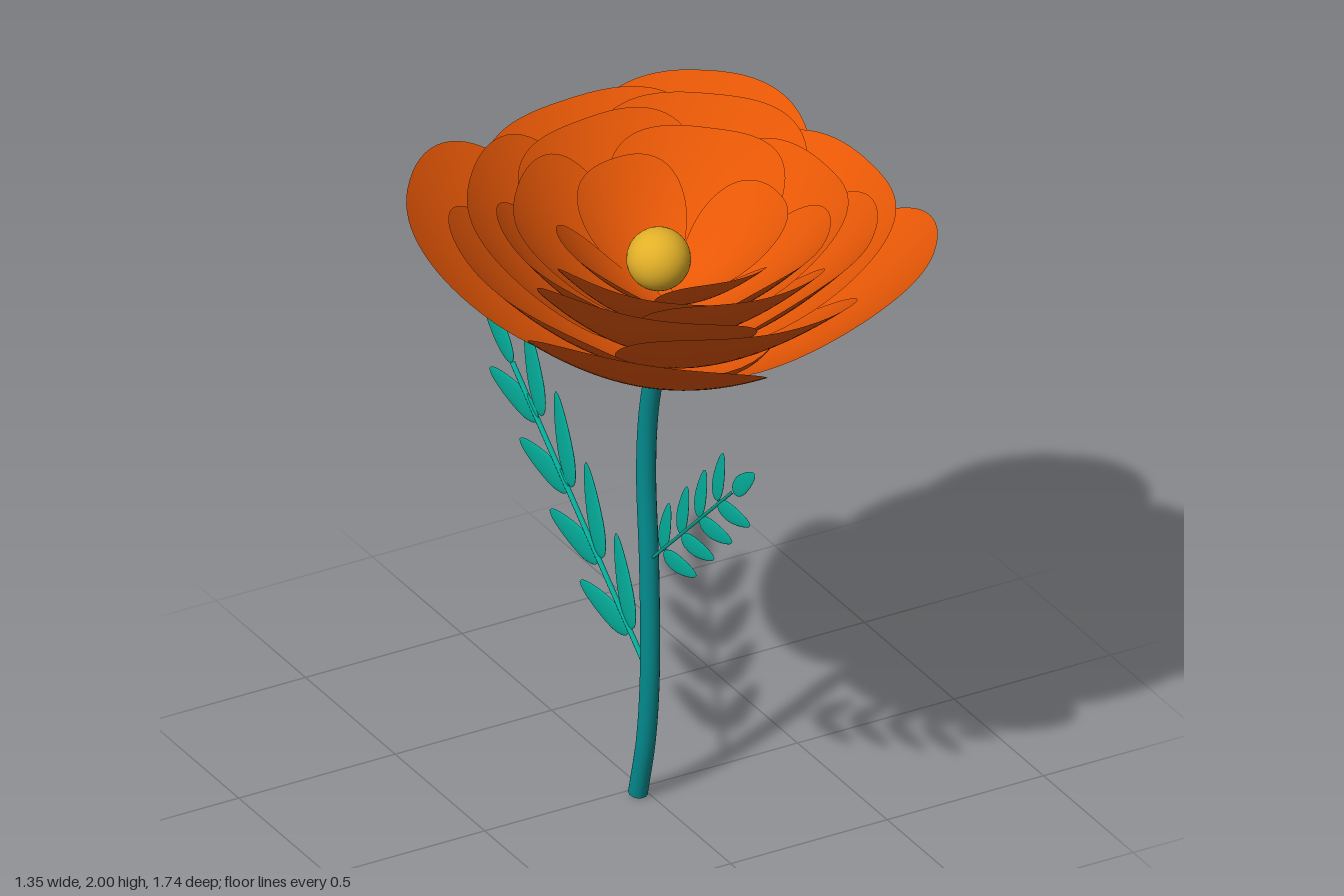
import * as THREE from 'three';
import { ParametricGeometry } from 'three/addons/geometries/ParametricGeometry.js';

const make = (name, color, side = THREE.FrontSide) => {
  const m = new THREE.MeshStandardMaterial({ color, side });
  m.name = name;
  return m;
};

export function createModel() {
  const petalOrange = make('petalOrange', 0xe85806, THREE.DoubleSide);
  const pollenYellow = make('pollenYellow', 0xe2b028, THREE.DoubleSide);
  const stemTeal = make('stemTeal', 0x038c8f);
  const leafGreen = make('leafGreen', 0x04ad9a);

  const model = new THREE.Group();
  model.name = 'flower';
  const add = (parent, name, geometry, material) => {
    const mesh = new THREE.Mesh(geometry, material);
    mesh.name = name;
    parent.add(mesh);
    return mesh;
  };
  const X = -0.027; // plane of the stem and fronds

  // Stem: a gently bent tube with a closed foot
  const stemPath = new THREE.CatmullRomCurve3(
    [[0.03, 0.005], [0.075, 0.2], [0.096, 0.42], [0.092, 0.75], [0.075, 1.05], [0.09, 1.25], [0.135, 1.42], [0.16, 1.47]]
      .map(([z, y]) => new THREE.Vector3(X, y, z)));
  add(model, 'stem', new THREE.TubeGeometry(stemPath, 48, 0.028, 16), stemTeal);
  const foot = add(model, 'stemFoot', new THREE.CircleGeometry(0.028, 16), stemTeal);
  foot.position.set(X, 0.004, 0.03);
  foot.rotation.x = Math.PI / 2;

  // Leaflet of unit length along y, flattened in x
  const leafGeometry = new THREE.LatheGeometry(
    new THREE.SplineCurve([[0, 0], [0.09, 0.05], [0.15, 0.2], [0.165, 0.38], [0.14, 0.62], [0.095, 0.83], [0.05, 0.95], [0, 1]]
      .map(([r, y]) => new THREE.Vector2(r, y))).getPoints(20).map(p => p.set(Math.max(p.x, 0), p.y)), 16);
  const leaflet = (parent, [z, y], [dz, dy]) => {
    const leaf = add(parent, 'leaflet', leafGeometry, leafGreen);
    const length = Math.hypot(dz, dy);
    leaf.position.set(X, y, z);
    leaf.rotation.x = Math.atan2(dz, dy);
    leaf.scale.set(length * 0.15, length, length);
  };

  // Fronds: a thin stalk, four pairs of leaflets and one at the tip; points are [z, y]
  const frond = (name, { root, first, step, upper, lower, end, tip, radius }) => {
    const group = new THREE.Group();
    group.name = name;
    const path = new THREE.LineCurve3(
      new THREE.Vector3(X, root[1], root[0]), new THREE.Vector3(X, end[1], end[0]));
    add(group, 'stalk', new THREE.TubeGeometry(path, 1, radius, 8), leafGreen);
    for (let i = 0; i < 4; i++) {
      const base = [first[0] + i * step[0], first[1] + i * step[1]];
      leaflet(group, base, upper);
      leaflet(group, [base[0] + lower[0] * 0.06, base[1] - 0.012], lower);
    }
    leaflet(group, end, tip);
    model.add(group);
  };
  frond('backFrond', {
    root: [0.08, 0.42], first: [-0.005, 0.505], step: [-0.168, 0.144], upper: [-0.088, 0.265],
    lower: [-0.275, 0.024], end: [-0.67, 1.03], tip: [-0.205, 0.18], radius: 0.008,
  });
  frond('frontFrond', {
    root: [0.1, 0.78], first: [0.16, 0.84], step: [0.1, 0.102], upper: [0.047, 0.17],
    lower: [0.185, 0.026], end: [0.56, 1.22], tip: [0.123, 0.115], radius: 0.005,
  });

  // Flower head, tipped a little to the front
  const head = new THREE.Group();
  head.name = 'flowerHead';
  head.position.set(-0.01, 1.45, 0.145);
  head.rotation.x = 0.095;
  model.add(head);

  // Petal: a rounded outline laid on a bowl that steepens towards the rim
  const petalGeometry = (reach, halfWidth, floor, rim, curve) => {
    const geometry = new ParametricGeometry((a, b, target) => {
      const u = Math.sin(a * Math.PI / 2); // rows crowd towards the tip
      const w = u < 0.62
        ? 0.15 + 0.85 * Math.sin(u / 0.62 * Math.PI / 2)
        : Math.pow(Math.max(0, 1 - Math.pow((u - 0.62) / 0.38, 2.2)), 1 / 2.2);
      const along = 0.02 + u * (reach - 0.02);
      const s = (b * 2 - 1) * w * halfWidth;
      const r = Math.hypot(along, s);
      const y = floor + (rim - floor) * Math.pow(r / reach, curve) + 0.07 * s * u;
      target.set(along, y, s);
    }, 28, 20);
    geometry.computeVertexNormals();
    return geometry;
  };

  // Six whorls of four petals, alternating by an eighth of a turn
  const whorls = [
    // reach, half width, floor, rim, curve, bearings in degrees
    [0.74, 0.335, 0.0, 0.46, 1.8, [37, 127, 220, 307]],
    [0.63, 0.35, 0.03, 0.462, 1.7, [2, 92, 181, 271]],
    [0.57, 0.31, 0.06, 0.5, 1.7, [41, 130, 219, 311]],
    [0.495, 0.28, 0.1, 0.485, 1.7, [0, 88, 180, 268]],
    [0.44, 0.25, 0.14, 0.475, 1.7, [46, 134, 219, 314]],
    [0.335, 0.16, 0.2, 0.45, 1.7, [2, 88, 180, 270]],
  ];
  whorls.forEach(([reach, halfWidth, floor, rim, curve, bearings], i) => {
    const geometry = petalGeometry(reach, halfWidth, floor, rim, curve);
    for (const bearing of bearings) {
      const petal = add(head, `petalWhorl${i + 1}`, geometry, petalOrange);
      petal.rotation.y = -THREE.MathUtils.degToRad(bearing);
    }
  });

  // Receptacle under the petals; the orange collar sits further back and covers its rear edge
  const lathe = points => new THREE.LatheGeometry(points.map(([r, y]) => new THREE.Vector2(r, y)), 40);
  add(head, 'receptacle',
    lathe([[0, -0.025], [0.07, -0.021], [0.13, -0.006], [0.18, 0.018], [0.22, 0.048], [0.24, 0.068]]), pollenYellow)
    .position.set(0.02, 0, 0.03);
  add(head, 'collar',
    lathe([[0.18, 0.018], [0.22, 0.046], [0.24, 0.063], [0.265, 0.085], [0.28, 0.105], [0.285, 0.118]]), petalOrange)
    .position.set(0.022, 0.001, 0.02);

  // Round centre
  add(head, 'flowerCentre', new THREE.SphereGeometry(0.09, 32, 20), pollenYellow)
    .position.set(-0.035, 0.33, 0);

  return model;
}
